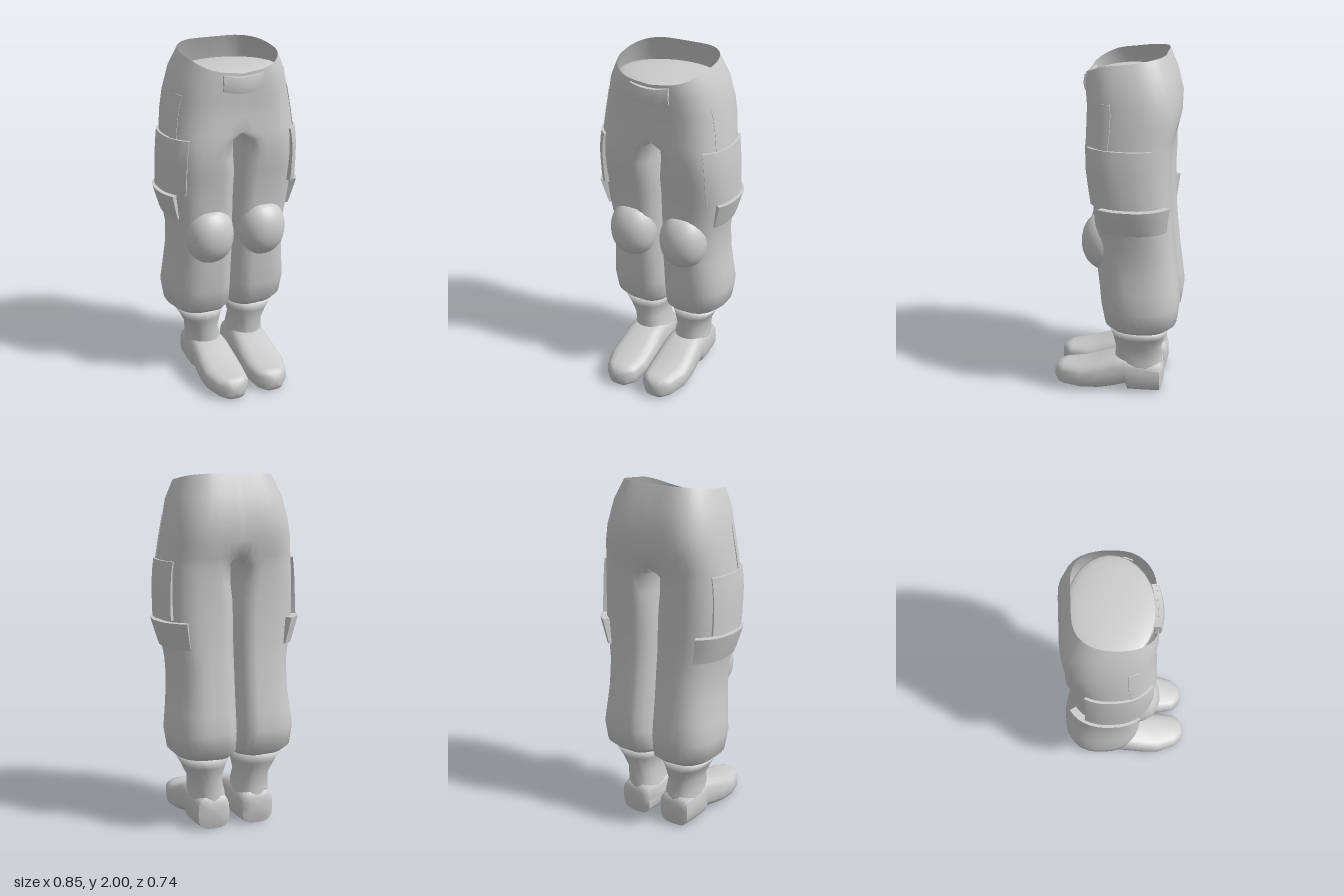
import * as THREE from 'three';
import { toCreasedNormals, mergeVertices, mergeGeometries } from 'three/addons/utils/BufferGeometryUtils.js';

const material = new THREE.MeshStandardMaterial({ color: 0xcccccc, side: THREE.DoubleSide });
const V = (x, y, z) => new THREE.Vector3(x, y, z);

// Skin a list of closed rings; rings run counterclockwise seen from the first one.
// Triangles lying wholly in the plane x = 0 are left out so that halves can be welded.
function loft(rings, capStart = true, capEnd = true) {
  const n = rings[0].length, pts = rings.flat(), index = [];
  const tri = (a, b, c) => {
    if (![a, b, c].every((i) => Math.abs(pts[i].x) < 1e-6)) index.push(a, b, c);
  };
  for (let r = 0; r < rings.length - 1; r++) {
    for (let i = 0; i < n; i++) {
      const a = r * n + i, b = r * n + (i + 1) % n;
      tri(a, a + n, b + n);
      tri(a, b + n, b);
    }
  }
  const cap = (r, flip) => {
    const c = pts.length;
    pts.push(rings[r].reduce((s, p) => s.add(p), V(0, 0, 0)).divideScalar(n));
    for (let i = 0; i < n; i++) {
      const a = r * n + i, b = r * n + (i + 1) % n;
      flip ? tri(c, b, a) : tri(c, a, b);
    }
  };
  if (capStart) cap(0, false);
  if (capEnd) cap(rings.length - 1, true);
  const g = new THREE.BufferGeometry().setFromPoints(pts);
  g.setIndex(index);
  g.computeVertexNormals();
  return g;
}

function mirrored(geometry) {
  const g = geometry.clone().scale(-1, 1, 1);
  g.setIndex(Array.from(g.index.array).reverse());
  g.computeVertexNormals();
  return g;
}

// Trouser half: y, rim tilt, outer x, middle x, inner x, front z, back z, inner squareness
const ROWS = [
  [1.965, 1, 0.272, 0.09, 0, 0.163, -0.27, 1],
  [1.86, 0.6, 0.322, 0.11, 0, 0.165, -0.315, 1],
  [1.74, 0.2, 0.35, 0.13, 0, 0.155, -0.345, 1],
  [1.64, 0, 0.368, 0.15, 0, 0.155, -0.34, 1],
  [1.55, 0, 0.379, 0.16, 0, 0.158, -0.32, 1],
  [1.5, 0, 0.385, 0.18, 0.008, 0.16, -0.31, 0.3],
  [1.4, 0, 0.388, 0.19, 0.006, 0.155, -0.31, 0.3],
  [1.3, 0, 0.388, 0.19, 0.002, 0.138, -0.305, 0.4],
  [1.19, 0, 0.385, 0.185, 0.002, 0.118, -0.31, 0.4],
  [1.08, 0, 0.37, 0.18, 0.002, 0.11, -0.312, 0.4],
  [0.95, 0, 0.345, 0.175, 0.002, 0.1, -0.325, 0.4],
  [0.8, 0, 0.345, 0.175, 0.002, 0.098, -0.342, 0.4],
  [0.68, 0, 0.358, 0.175, 0.002, 0.085, -0.358, 0.4],
  [0.57, 0, 0.372, 0.175, 0.002, 0.075, -0.372, 0.4],
  [0.46, 0, 0.355, 0.175, 0.004, 0.055, -0.358, 0.4],
  [0.42, 0, 0.31, 0.165, 0.018, 0.02, -0.315, 0.3],
];

const power = (v, e) => Math.sign(v) * Math.abs(v) ** e;

// Point on a trouser ring: t = 0 front, 0.25 outer, 0.5 back, 0.75 inner
function ringPoint([y, tilt, xo, xm, xi, zf, zb, box], t) {
  const s = Math.sin(t * Math.PI * 2), c = Math.cos(t * Math.PI * 2);
  const zc = (zf + zb) / 2, rz = (zf - zb) / 2, k = 1 + 0.42 * box;
  let x, z;
  if (s >= -1e-9) {
    x = xm + (xo - xm) * power(Math.max(s, 0), 0.85);
    z = zc + rz * power(c, 0.85);
  } else {
    x = xm - (xm - xi) * Math.min(1, -s * k);
    z = zc + rz * THREE.MathUtils.clamp(c * k, -1, 1);
  }
  // The rim dips to a shallow point at the front and rises to the back
  const d = z + 0.02;
  const dip = d > 0 ? 1.9 * d * d + 0.12 * Math.max(0, 0.15 - x) * d / 0.185 : 0.14 * d;
  return V(x, y - tilt * dip, z);
}

function rowAt(y) {
  const i = ROWS.findIndex((r, j) => r[0] >= y && ROWS[j + 1][0] <= y);
  const a = ROWS[i], b = ROWS[i + 1], f = (a[0] - y) / (a[0] - b[0]);
  return a.map((v, j) => v + (b[j] - v) * f);
}

// Raised cloth panel following the trouser surface
function panel(yTop, yLow, t0, t1, dTop, dLow) {
  const rings = [], across = 10, down = 5;
  for (let v = 0; v <= down; v++) {
    const f = v / down, row = rowAt(yTop + (yLow - yTop) * f), ring = [];
    const centre = V(row[3], row[0], (row[5] + row[6]) / 2);
    const add = (u, d) => {
      const p = ringPoint(row, t0 + (t1 - t0) * u / across);
      const out = p.clone().sub(centre).setY(0).normalize();
      ring.push(p.addScaledVector(out, d));
    };
    for (let u = 0; u <= across; u++) add(u, dTop + (dLow - dTop) * f);
    for (let u = across; u >= 0; u--) add(u, -0.008);
    rings.push(ring);
  }
  return loft(rings);
}

// Boot leg: y, inner x, outer x, front z, back z
const SHAFT = [
  [0.422, 0.012, 0.315, 0.032, -0.32], [0.36, 0.035, 0.275, 0.014, -0.295],
  [0.28, 0.055, 0.235, 0, -0.272], [0.2, 0.036, 0.235, 0.004, -0.275], [0.14, 0.03, 0.238, 0, -0.278],
];
// Boot foot: z, inner x, outer x, top y, bottom y
const FOOT = [
  [-0.282, 0.08, 0.19, 0.15, 0.05], [-0.268, 0.04, 0.23, 0.19, 0], [-0.16, 0.025, 0.242, 0.215, 0],
  [-0.078, 0.022, 0.244, 0.225, 0], [-0.065, 0.022, 0.244, 0.225, 0.04], [0, 0.016, 0.248, 0.213, 0.02],
  [0.1, 0.01, 0.256, 0.176, 0.002], [0.2, 0.01, 0.257, 0.142, 0], [0.31, 0.025, 0.222, 0.127, 0],
  [0.35, 0.06, 0.185, 0.12, 0.002], [0.37, 0.1, 0.155, 0.09, 0.03],
];

function oval(a0, a1, b0, b1, e, make) {
  return Array.from({ length: 20 }, (_, i) => {
    const t = i / 20 * Math.PI * 2;
    return make((a0 + a1) / 2 + (a1 - a0) / 2 * power(Math.sin(t), e),
      (b0 + b1) / 2 + (b1 - b0) / 2 * power(Math.cos(t), e));
  });
}

export function createModel() {
  const model = new THREE.Group();
  const add = (name, geometry) => {
    const mesh = new THREE.Mesh(geometry, material);
    mesh.name = name;
    model.add(mesh);
  };
  const pair = (name, geometry, crease) => {
    [['left', geometry], ['right', mirrored(geometry)]].forEach(([side, g]) =>
      add(side + name, crease ? toCreasedNormals(g, crease) : g));
  };

  // Trousers: two mirrored halves welded along the middle
  const N = 32;
  const half = loft(ROWS.map((row) => Array.from({ length: N }, (_, i) => ringPoint(row, i / N))), false, true);
  half.deleteAttribute('normal');
  const other = mirrored(half);
  other.deleteAttribute('normal');
  const trousers = mergeVertices(mergeGeometries([half, other]), 1e-4);
  trousers.computeVertexNormals();
  add('trousers', toCreasedNormals(trousers, 1.1));

  // Closed waist inside the rim
  const cap = new THREE.SphereGeometry(1, 28, 6, 0, Math.PI * 2, 0, Math.PI / 2);
  add('waistCap', cap.scale(0.3, 0.035, 0.228).translate(0, 1.862, -0.072));

  // Buckle, bent back at its ends
  const buckle = new THREE.BoxGeometry(0.235, 0.09, 0.035, 6, 2, 1);
  const p = buckle.attributes.position;
  for (let i = 0; i < p.count; i++) {
    const x = p.getX(i);
    p.setZ(i, p.getZ(i) - x * x * 1.3 - Math.abs(p.getY(i)) * 0.2);
    p.setY(i, p.getY(i) + x * x * 1.1);
  }
  add('beltBuckle', toCreasedNormals(buckle.translate(0, 1.823, 0.18), 0.6));

  // Pockets and flaps on the outer thighs
  pair('HipSeam', panel(1.77, 1.5, 0.16, 0.2, 0.003, 0.004), 0.6);
  pair('ThighPocket', panel(1.53, 1.21, 0.095, 0.345, 0.014, 0.026), 0.6);
  pair('PocketFlap', panel(1.2, 1.05, 0.15, 0.42, 0.04, 0.014), 0.6);

  // Knee pads, squarish and flatter on top
  const pad = new THREE.SphereGeometry(1, 28, 18);
  const q = pad.attributes.position;
  for (let i = 0; i < q.count; i++) {
    q.setXYZ(i, power(q.getX(i), 0.92), Math.min(power(q.getY(i), 0.95), 0.9), q.getZ(i));
  }
  pad.scale(0.142, 0.17, 0.135).translate(0.162, 0.938, 0.056);
  pad.computeVertexNormals();
  pair('KneePad', pad);

  // Boots
  pair('BootShaft', loft(SHAFT.map(([y, x0, x1, zf, zb]) =>
    oval(x0, x1, zb, zf, 0.85, (x, z) => V(x, y, z))), true, false));
  pair('BootFoot', loft(FOOT.map(([z, x0, x1, top, low]) =>
    oval(low, top, x1, x0, 0.62, (y, x) => V(x, y, z)))), 1.1);

  return model;
}
